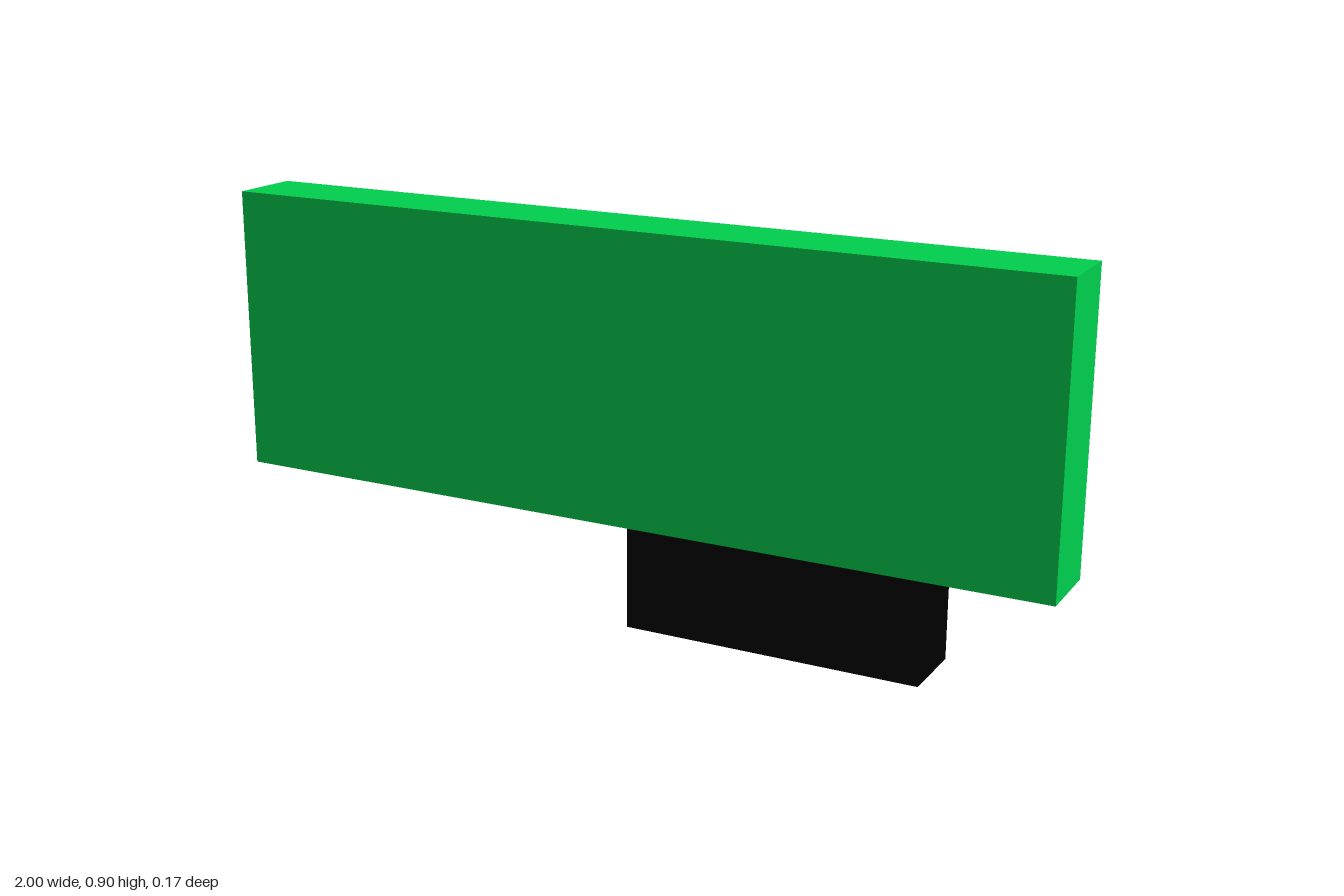
import * as THREE from 'three';

const green = new THREE.MeshStandardMaterial({ color: 0x00d04e });
green.name = 'green';
const black = new THREE.MeshStandardMaterial({ color: 0x000000 });
black.name = 'black';

// Box given by its minimum and maximum corners
function block(name, material, [x0, y0, z0], [x1, y1, z1]) {
  const mesh = new THREE.Mesh(new THREE.BoxGeometry(x1 - x0, y1 - y0, z1 - z0), material);
  mesh.position.set((x0 + x1) / 2, (y0 + y1) / 2, (z0 + z1) / 2);
  mesh.name = name;
  return mesh;
}

export function createModel() {
  const group = new THREE.Group();
  group.name = 'panelOnBase';
  // Wide upright panel
  group.add(block('panel', green, [-1, 0.233, -0.085], [1, 0.9, 0.085]));
  // Off-centre base block below the panel
  group.add(block('base', black, [0.032, 0, -0.083], [0.721, 0.233, 0.085]));
  return group;
}
